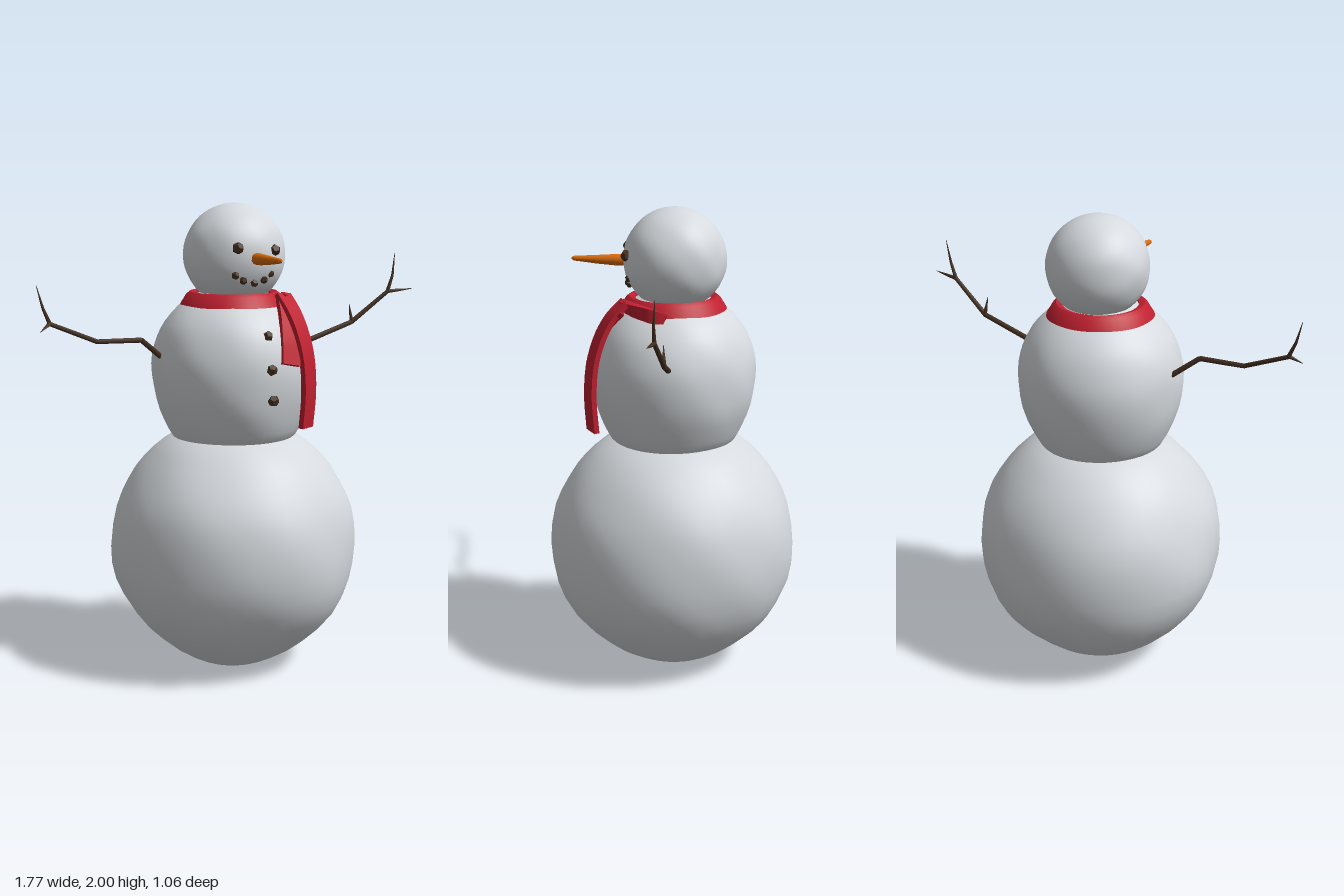
import * as THREE from 'three';
import { mergeVertices, mergeGeometries, toCreasedNormals } from 'three/addons/utils/BufferGeometryUtils.js';

const V = (p) => new THREE.Vector3(...p);
const material = (name, color) => Object.assign(new THREE.MeshStandardMaterial({ color }), { name });

// Press soft, uneven dents into a ball of snow, then smooth it
function lumpy(geo, cy, amount, seed) {
  geo.deleteAttribute('uv');
  geo.deleteAttribute('normal');
  const out = mergeVertices(geo, 1e-4);
  const pos = out.attributes.position;
  const p = new THREE.Vector3();
  for (let i = 0; i < pos.count; i++) {
    p.fromBufferAttribute(pos, i);
    const d = p.clone();
    d.y -= cy;
    d.normalize();
    const n = Math.sin(5.1 * d.x + 3.2 * d.y + seed) * Math.cos(4.7 * d.z - 2.3 * d.y + seed * 1.7)
      + 0.6 * Math.sin(8.3 * d.z + 5.9 * d.x + seed * 2.1) * Math.cos(7.7 * d.y + seed);
    p.x *= 1 + amount * n;
    p.z *= 1 + amount * n;
    pos.setXYZ(i, p.x, p.y, p.z);
  }
  out.computeVertexNormals();
  return out;
}

// Snowball turned from a profile of [radius, height] points
function snowball(profile, cy, amount, seed) {
  const curve = new THREE.SplineCurve(profile.map((p) => new THREE.Vector2(...p)));
  const pts = curve.getPoints(26).map((p) => p.setX(Math.max(p.x, 0)));
  return lumpy(new THREE.LatheGeometry(pts, 40), cy, amount, seed);
}

// Tapered stick through points, with one radius for each point
function stick(points, radii, sides = 7) {
  const parts = [];
  for (let i = 0; i < points.length - 1; i++) {
    const a = V(points[i]), b = V(points[i + 1]);
    const dir = b.clone().sub(a);
    const geo = new THREE.CylinderGeometry(radii[i + 1], radii[i], dir.length(), sides);
    geo.applyQuaternion(new THREE.Quaternion().setFromUnitVectors(V([0, 1, 0]), dir.normalize()));
    geo.translate(...a.add(b).multiplyScalar(0.5).toArray());
    parts.push(geo);
  }
  return mergeGeometries(parts);
}

// Cloth strip: a thin box bent along a path, its width turned from one direction to another
function ribbon(points, sideA, sideB, width, thick) {
  const curve = new THREE.CatmullRomCurve3(points.map(V));
  const geo = new THREE.BoxGeometry(width, 1, thick, 2, 16, 1);
  const pos = geo.attributes.position;
  for (let i = 0; i < pos.count; i++) {
    const t = THREE.MathUtils.clamp(0.5 - pos.getY(i), 0, 1);
    const tangent = curve.getTangent(t);
    const side = V(sideA).lerp(V(sideB), t);
    side.addScaledVector(tangent, -side.dot(tangent)).normalize();
    const normal = side.clone().cross(tangent).negate();
    const p = curve.getPoint(t).addScaledVector(side, pos.getX(i)).addScaledVector(normal, pos.getZ(i));
    pos.setXYZ(i, p.x, p.y, p.z);
  }
  return toCreasedNormals(geo, 0.7);
}

export function createModel() {
  const model = new THREE.Group();
  model.name = 'snowman';
  const snow = material('snow', 0xd6dade);
  const wool = material('red wool', 0xc02030);
  const carrot = material('carrot orange', 0xdb6c0c);
  const coal = material('coal', 0x44301f);
  const bark = material('bark', 0x432f20);

  const add = (name, geo, mat, parent = model) => {
    const mesh = new THREE.Mesh(geo, mat);
    mesh.name = name;
    parent.add(mesh);
    return mesh;
  };
  const group = (name) => {
    const g = new THREE.Group();
    g.name = name;
    model.add(g);
    return g;
  };

  // Three balls of snow
  add('lowerBody', snowball([[0, 0.005], [0.13, 0.005], [0.2, 0.03], [0.31, 0.1], [0.43, 0.22], [0.51, 0.37],
    [0.533, 0.53], [0.51, 0.7], [0.45, 0.83], [0.37, 0.93], [0.27, 1.01], [0.12, 1.06], [0, 1.07]],
  0.53, 0.012, 1), snow);
  add('upperBody', snowball([[0, 0.96], [0.16, 0.97], [0.25, 1.0], [0.3, 1.08], [0.338, 1.19], [0.352, 1.32],
    [0.335, 1.42], [0.29, 1.51], [0.21, 1.59], [0.1, 1.64], [0, 1.65]], 1.32, 0.01, 4), snow);
  const head = new THREE.IcosahedronGeometry(0.216, 9);
  const headMesh = add('head', lumpy(head, 0, 0.012, 2.5), snow);
  headMesh.position.set(0.008, 1.785, -0.008);

  // Face and buttons
  const lump = (name, x, y, z, r, parent, spin) => {
    const mesh = add(name, new THREE.DodecahedronGeometry(r, 0), coal, parent);
    mesh.position.set(x, y, z);
    mesh.rotation.set(spin, spin * 1.7, spin * 0.6);
  };
  const eyes = group('eyes');
  lump('rightEye', -0.075, 1.823, 0.193, 0.025, eyes, 0.4);
  lump('leftEye', 0.098, 1.811, 0.187, 0.025, eyes, 1.3);
  const mouth = group('mouth');
  [[-0.08, 1.711, 0.178], [-0.045, 1.689, 0.182], [0.005, 1.677, 0.183], [0.05, 1.69, 0.182], [0.083, 1.713, 0.178]]
    .forEach(([x, y, z], i) => lump('mouthCoal', x, y, z, 0.017, mouth, i + 0.5));
  const buttons = group('buttons');
  [[0.002, 1.468, 0.306], [0, 1.335, 0.348], [0.01, 1.208, 0.346]]
    .forEach(([x, y, z], i) => lump('button', x, y, z, 0.025, buttons, i * 0.8 + 0.3));
  add('nose', stick([[0.006, 1.778, 0.17], [0.006, 1.778, 0.24], [0.004, 1.779, 0.32], [0, 1.782, 0.415], [0, 1.783, 0.426]],
    [0.026, 0.024, 0.018, 0.01, 0.004], 10), carrot);

  // Scarf: a sloping collar, a fold over the shoulder and two hanging tails
  const scarf = group('scarf');
  const collar = [[0.16, 1.55], [0.215, 1.544], [0.237, 1.552], [0.225, 1.58], [0.2, 1.62], [0.185, 1.632], [0.16, 1.625], [0.16, 1.55]]
    .map((p) => new THREE.Vector2(...p));
  add('collar', toCreasedNormals(new THREE.LatheGeometry(collar, 40), 0.6), wool, scarf);
  add('shoulderFold', ribbon([[0.12, 1.608, 0.2], [0.175, 1.6, 0.15], [0.215, 1.585, 0.08], [0.23, 1.565, 0.02]],
    [-0.2, -0.8, -0.4], [-0.3, 1, 0].map((n) => -n), 0.055, 0.025), wool, scarf);
  add('longTail', ribbon([[0.135, 1.625, 0.19], [0.15, 1.56, 0.25], [0.165, 1.48, 0.293], [0.178, 1.37, 0.325],
    [0.182, 1.23, 0.336], [0.174, 1.08, 0.328]], [0.9, 0, -0.4], [0.85, 0, -0.5], 0.084, 0.022), wool, scarf);
  add('shortTail', ribbon([[0.145, 1.6, 0.2], [0.125, 1.53, 0.262], [0.105, 1.45, 0.31], [0.09, 1.35, 0.345]],
    [0.95, 0, -0.3], [0.97, 0, -0.2], 0.09, 0.02), wool, scarf);

  // Branch arms with twigs
  const rightArm = group('rightArm');
  add('branch', stick([[-0.3, 1.34, -0.015], [-0.445, 1.45, 0.045], [-0.64, 1.455, 0.049], [-0.845, 1.54, 0.037]],
    [0.012, 0.011, 0.01, 0.009]), bark, rightArm);
  add('longTwig', stick([[-0.835, 1.536, 0.037], [-0.863, 1.6, 0.037], [-0.887, 1.69, 0.033]], [0.009, 0.006, 0.001]), bark, rightArm);
  add('shortTwig', stick([[-0.835, 1.538, 0.037], [-0.886, 1.508, 0.066]], [0.009, 0.001]), bark, rightArm);

  const leftArm = group('leftArm');
  add('branch', stick([[0.3, 1.376, 0], [0.59, 1.468, 0], [0.765, 1.603, 0.027]], [0.012, 0.011, 0.009]), bark, leftArm);
  add('longTwig', stick([[0.76, 1.598, 0.026], [0.785, 1.67, 0.027], [0.8, 1.77, 0.02]], [0.009, 0.006, 0.001]), bark, leftArm);
  add('outerTwig', stick([[0.76, 1.6, 0.026], [0.82, 1.605, 0.035], [0.88, 1.61, 0.046]], [0.009, 0.006, 0.001]), bark, leftArm);
  add('shortTwig', stick([[0.592, 1.468, 0], [0.575, 1.55, 0.004]], [0.01, 0.001]), bark, leftArm);

  return model;
}
